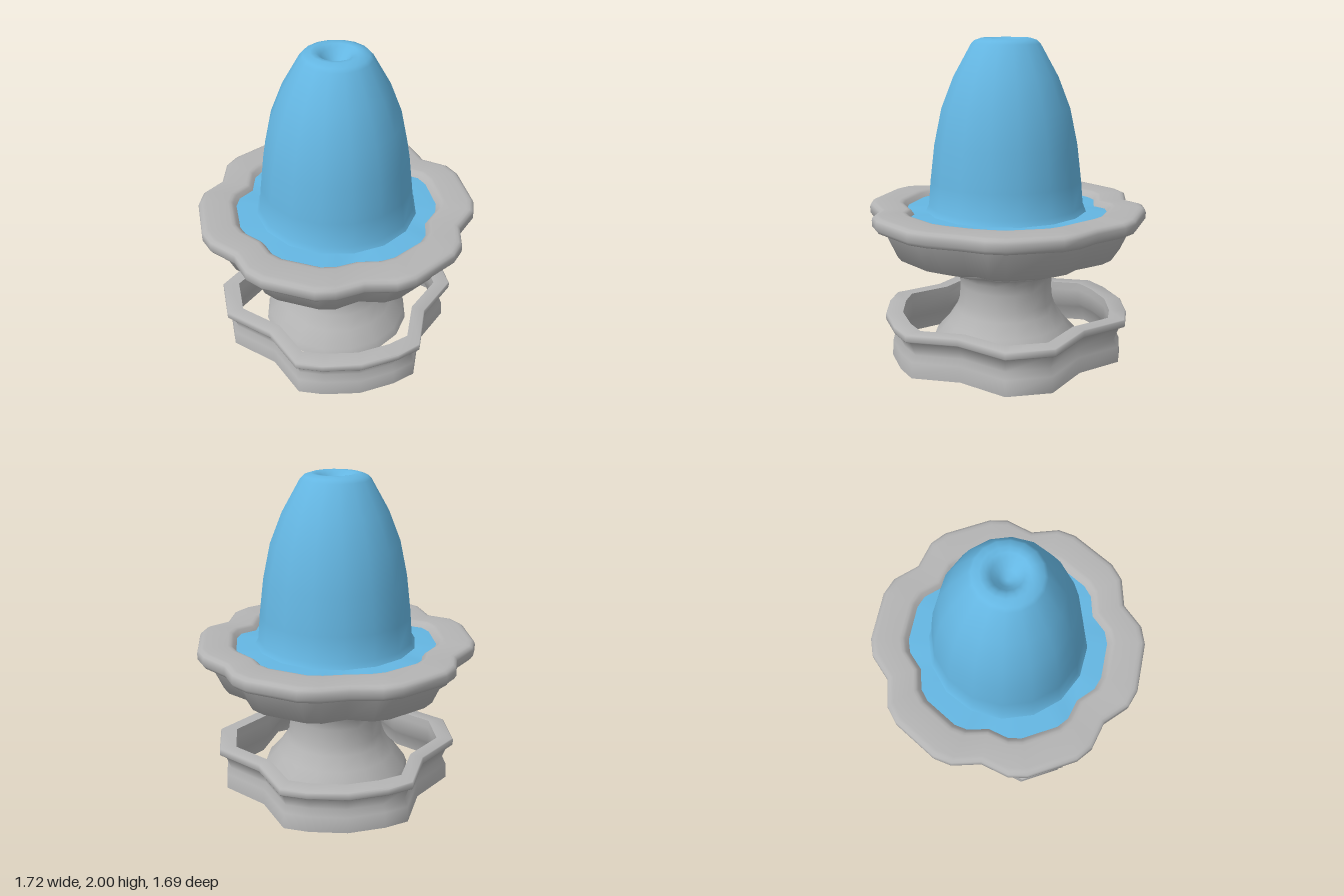
import * as THREE from 'three';
import { toCreasedNormals } from 'three/addons/utils/BufferGeometryUtils.js';

const stone = new THREE.MeshStandardMaterial({ color: 0xb4b4b4, side: THREE.DoubleSide });
stone.name = 'stone grey';
const water = new THREE.MeshStandardMaterial({ color: 0x64b6e2, side: THREE.DoubleSide });
water.name = 'water blue';

// Stacks scaled copies of a closed outline; profile rows are [scale, y]
function loft(outline, profile, crease = 1) {
  const n = outline.length, pos = [], idx = [];
  for (const [s, y] of profile)
    for (const [x, z, dip = 0] of outline) pos.push(x * s, y - (y > 0.85 ? dip : 0), z * s);
  for (let i = 0; i < profile.length - 1; i++)
    for (let j = 0; j < n; j++) {
      const a = i * n + j, b = i * n + (j + 1) % n;
      idx.push(a, a + n, b, b, a + n, b + n);
    }
  const g = new THREE.BufferGeometry();
  g.setAttribute('position', new THREE.Float32BufferAttribute(pos, 3));
  g.setIndex(idx);
  return toCreasedNormals(g, crease);
}

const polar = (r, deg, dip) => {
  const t = THREE.MathUtils.degToRad(deg);
  return [r * Math.cos(t), r * Math.sin(t), dip];
};
const circle = n => Array.from({ length: n }, (_, i) => polar(1, i / n * 360));

// Six-lobed bowl outline, unit radius along x, notches between the lobes
function lobedOutline() {
  const pts = [];
  const lobe = [[-18.2, 0.998], [-10.5, 1.011], [10.5, 1.011], [18.2, 0.998], [30, 0.922, 0.013]];
  for (let k = 0; k < 6; k++)
    for (const [deg, r, dip = 0] of lobe) pts.push(polar(r, k * 60 + deg, dip));
  return pts;
}

// Basin outline: one quarter of corners mirrored in x and z, notched at the diagonals
function basinOutline() {
  const quarter = [[11, 0.77], [37, 0.64], [60, 0.785], [72, 0.775]];
  const back = [...quarter].reverse();
  const half = [...quarter, [90, 0.775], ...back.map(([d, r]) => [180 - d, r])];
  return [0, 180].flatMap(turn => half.map(([d, r]) => polar(r / 0.755, d + turn)));
}

export function createModel() {
  const group = new THREE.Group();
  const add = (name, geometry, material) => {
    const m = new THREE.Mesh(geometry, material);
    m.name = name;
    group.add(m);
  };
  const lobes = lobedOutline(), round = circle(16);

  // Open lower basin: waisted outer wall, flat lip and thin inner wall
  add('lowerBasin', loft(basinOutline(), [
    [0.72, 0], [0.715, 0.1], [0.687, 0.14], [0.722, 0.235], [0.75, 0.237], [0.755, 0.245],
    [0.755, 0.28], [0.748, 0.285], [0.65, 0.285], [0.647, 0.235], [0.645, 0.14], [0.685, 0.1], [0.705, 0], [0.72, 0],
  ], 1.25), stone);

  // Pedestal with flared hollow foot
  add('pedestal', loft(round, [
    [0.001, 0.2], [0.3, 0.17], [0.45, 0.06], [0.48, 0.06], [0.46, 0.11], [0.38, 0.2],
    [0.325, 0.285], [0.305, 0.34], [0.295, 0.45], [0.3, 0.51], [0.325, 0.555], [0.36, 0.572],
  ]), stone);

  // Scalloped collar under the bowl
  add('collar', loft(lobes, [[0.3, 0.565], [0.38, 0.572], [0.425, 0.585], [0.445, 0.62], [0.44, 0.64]]), stone);

  // Scalloped upper bowl with rolled rim
  add('upperBowl', loft(lobes, [
    [0.3, 0.62], [0.44, 0.622], [0.56, 0.64], [0.715, 0.7], [0.797, 0.88], [0.85, 0.886],
    [0.866, 0.908], [0.866, 0.945], [0.86, 0.962], [0.842, 0.972], [0.82, 0.974], [0.68, 0.974],
    [0.662, 0.971], [0.647, 0.962], [0.62, 0.925],
  ]), stone);

  // Water surface and the domed jet with a dimpled top
  add('waterSurface', loft(lobes, [[0.628, 0.937], [0.5, 0.942], [0.001, 0.942]]), water);
  add('waterJet', loft(round, [
    [0.508, 0.942], [0.488, 0.975], [0.475, 1.13], [0.447, 1.36], [0.4, 1.58], [0.325, 1.77],
    [0.215, 1.965], [0.195, 1.985], [0.15, 2], [0.12, 1.997], [0.09, 1.975], [0.05, 1.93], [0.001, 1.9],
  ], 1.2), water);

  return group;
}
